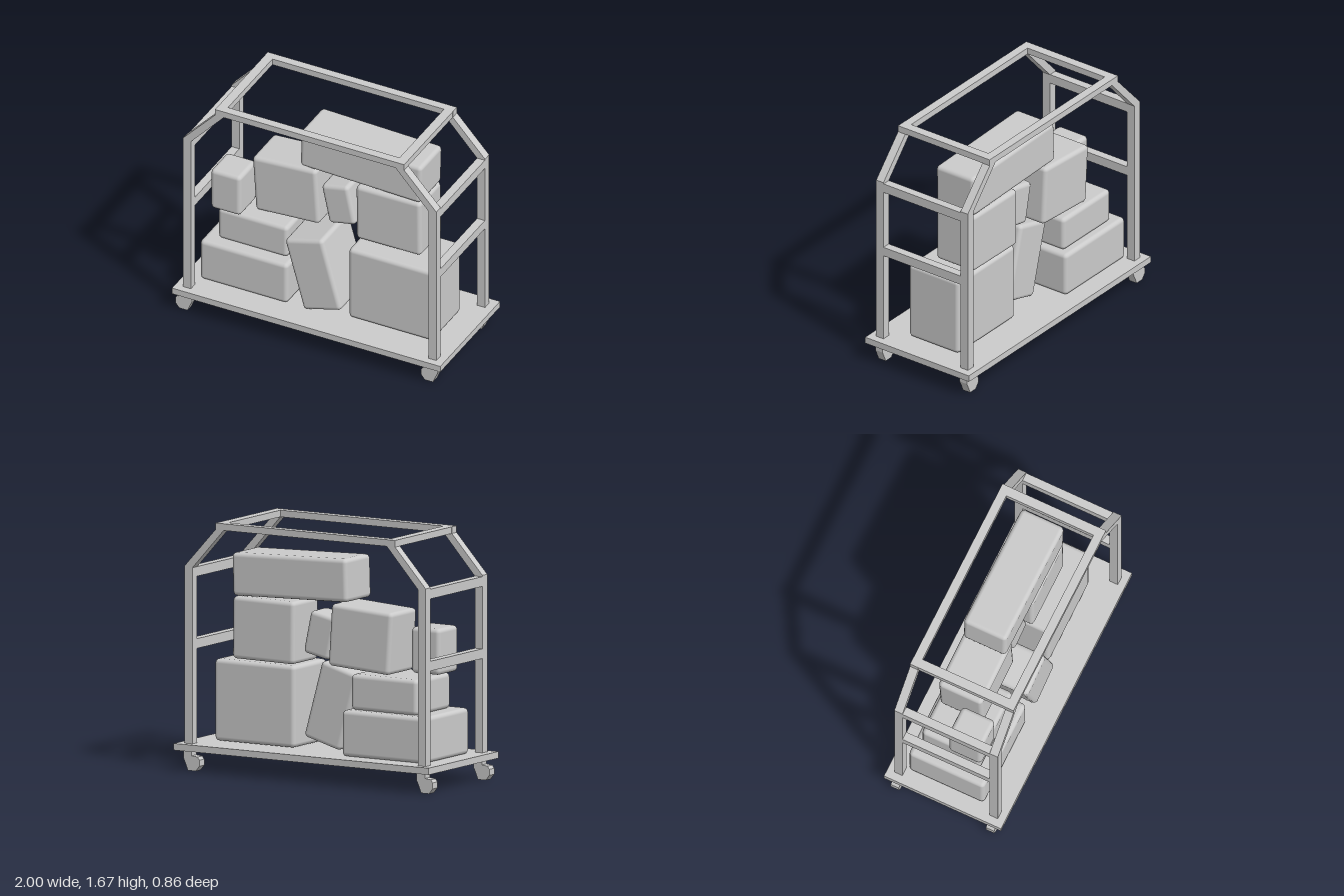
import * as THREE from 'three';
import { RoundedBoxGeometry } from 'three/addons/geometries/RoundedBoxGeometry.js';

const material = new THREE.MeshStandardMaterial({ color: 0xcccccc });

function addMesh(parent, name, geometry, x = 0, y = 0, z = 0) {
  const mesh = new THREE.Mesh(geometry, material);
  mesh.name = name;
  mesh.position.set(x, y, z);
  parent.add(mesh);
  return mesh;
}

// Flat outline in x/y, extruded along z and centred on z = 0
function plate(points, depth) {
  const shape = new THREE.Shape(points.map(([x, y]) => new THREE.Vector2(x, y)));
  const geometry = new THREE.ExtrudeGeometry(shape, { depth, bevelEnabled: false });
  return geometry.translate(0, 0, -depth / 2);
}

const mirrored = (half) => [...half, ...half.map(([x, y]) => [-x, y]).reverse()];

export function createModel() {
  const model = new THREE.Group();
  model.name = 'luggageCart';

  // Deck
  addMesh(model, 'deck', new THREE.BoxGeometry(2, 0.045, 0.86), 0, 0.158, 0);

  // Front and back hoops with sloped shoulders
  const outer = mirrored([[0.945, 0.18], [0.945, 1.37], [0.705, 1.63], [0.705, 1.675]]);
  const inner = mirrored([[0.885, 0.18], [0.885, 1.36], [0.64, 1.63]]).reverse();
  const hoop = plate([...outer, ...inner], 0.06);
  for (const z of [0.35, -0.35]) addMesh(model, z > 0 ? 'frontHoop' : 'backHoop', hoop, 0, 0, z);

  // Rails joining the two hoops at each end
  for (const side of [1, -1]) {
    const label = side > 0 ? 'left' : 'right';
    const rail = new THREE.BoxGeometry(0.058, 0.065, 0.64);
    addMesh(model, label + 'LowerRail', rail, side * 0.915, 0.845, 0);
    addMesh(model, label + 'UpperRail', rail, side * 0.915, 1.328, 0);
    addMesh(model, label + 'TopRail', new THREE.BoxGeometry(0.065, 0.045, 0.64), side * 0.672, 1.6525, 0);
  }

  // Casters all trail the same way
  const caster = plate([
    [0.035, 0.14], [-0.03, 0.14], [-0.03, 0.1], [-0.075, 0.095], [-0.09, 0.075], [-0.09, 0.035],
    [-0.062, 0], [0, 0], [0.016, 0.04], [0.035, 0.08],
  ], 0.06);
  for (const x of [0.92, -0.91])
    for (const z of [0.35, -0.35])
      addMesh(model, (z > 0 ? 'front' : 'back') + (x > 0 ? 'Left' : 'Right') + 'Caster', caster, x, 0, z);

  // Stacked luggage: name, centre x, y, width, height, back z, front z, tilt in degrees
  const luggage = [
    ['largeCase', 0.51, 0.46, 0.63, 0.55, -0.21, 0.205, 0],
    ['squareCase', 0.433, 0.957, 0.485, 0.42, -0.225, 0.09, 0.5],
    ['topCase', 0.227, 1.328, 0.9, 0.29, -0.225, 0.09, -1.7],
    ['lowCase', -0.562, 0.335, 0.655, 0.31, -0.305, 0.25, 0],
    ['flatCase', -0.535, 0.608, 0.52, 0.24, -0.255, 0.17, 0],
    ['smallCase', -0.722, 0.89, 0.225, 0.31, -0.04, 0.203, 0],
    ['tiltedCase', -0.333, 0.96, 0.48, 0.42, -0.235, 0.087, 3.6],
    ['wedgedCase', 0.045, 0.945, 0.205, 0.295, -0.14, 0.06, 12],
    ['leaningCase', -0.04, 0.48, 0.295, 0.54, -0.135, 0.262, 15.5],
  ];
  for (const [name, x, y, w, h, back, front, tilt] of luggage) {
    const geometry = new RoundedBoxGeometry(w, h, front - back, 2, 0.03);
    const mesh = addMesh(model, name, geometry, x, y, (front + back) / 2);
    mesh.rotation.z = THREE.MathUtils.degToRad(tilt);
  }

  return model;
}
